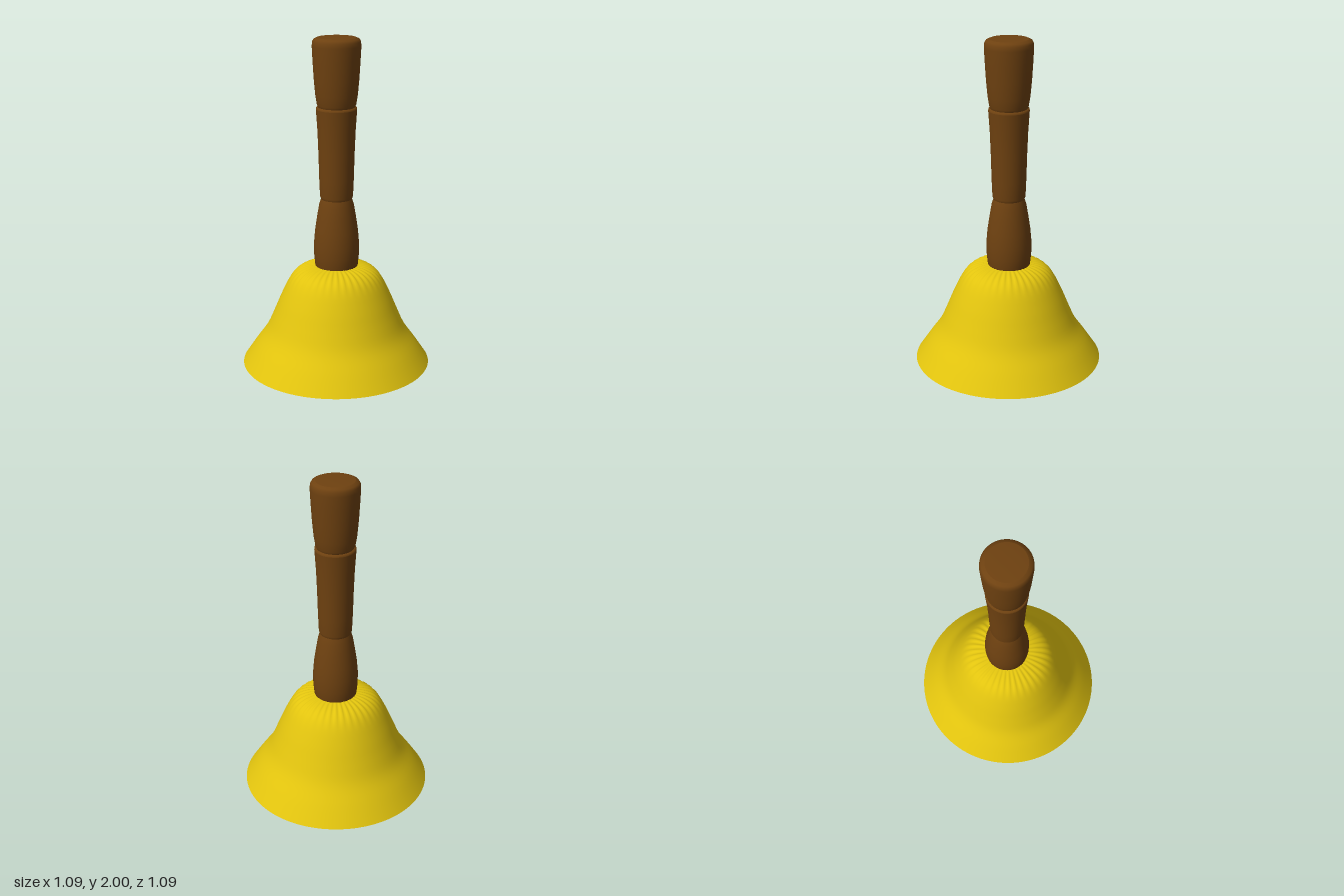
import * as THREE from 'three';
import { mergeVertices } from 'three/addons/utils/BufferGeometryUtils.js';

const mat = (name, color, side = THREE.FrontSide) => {
  const m = new THREE.MeshStandardMaterial({ color, side });
  m.name = name;
  return m;
};

// Turned part from [radius, height] pairs, listed bottom to top
function turned(name, profile, material, sides) {
  const points = profile.map(([r, y]) => new THREE.Vector2(r, y));
  const mesh = new THREE.Mesh(new THREE.LatheGeometry(points, sides), material);
  mesh.name = name;
  return mesh;
}

export function createModel() {
  const brass = mat('yellow brass', 0xe2c40e, THREE.DoubleSide);
  const wood = mat('brown wood', 0x6e4110);
  const bronze = mat('clapper bronze', 0xc8981e);
  const model = new THREE.Group();
  model.name = 'handBell';

  // Thin flared bell body, smoothed through a few profile points
  const curve = new THREE.SplineCurve([
    [0.545, 0.1], [0.478, 0.2], [0.408, 0.3], [0.362, 0.4], [0.32, 0.5],
    [0.271, 0.6], [0.232, 0.65], [0.185, 0.677], [0.13, 0.688], [0.06, 0.69], [0, 0.69],
  ].map(([r, y]) => new THREE.Vector2(r, y)));
  const profile = curve.getPoints(40);
  profile[40].x = 0;
  const flutes = 38;
  let shell = new THREE.LatheGeometry(profile, flutes * 4);

  // Shallow flutes around the shoulder
  const pos = shell.attributes.position;
  for (let i = 0; i < pos.count; i++) {
    const x = pos.getX(i), z = pos.getZ(i), r = Math.hypot(x, z);
    if (r < 0.1 || r > 0.28) continue;
    const fade = Math.sin(Math.PI * (r - 0.1) / 0.18);
    const dent = 0.005 * fade * (0.5 + 0.5 * Math.cos(flutes * Math.atan2(z, x)));
    pos.setXYZ(i, x * (1 - dent / r), pos.getY(i) - dent, z * (1 - dent / r));
  }
  shell.deleteAttribute('uv');
  shell.deleteAttribute('normal');
  shell = mergeVertices(shell, 1e-5);
  shell.computeVertexNormals();
  const bell = new THREE.Mesh(shell, brass);
  bell.name = 'bellBody';
  model.add(bell);

  // Turned handle in three swells, separated by grooves
  const handle = new THREE.Group();
  handle.name = 'handle';
  handle.add(
    turned('lowerGrip', [[0, 0.67], [0.115, 0.67], [0.123, 0.69], [0.129, 0.75], [0.13, 0.82],
      [0.123, 0.9], [0.111, 0.98], [0.099, 1.05], [0.088, 1.085]], wood, 48),
    turned('middleGrip', [[0.088, 1.085], [0.094, 1.1], [0.098, 1.2], [0.102, 1.35],
      [0.107, 1.48], [0.115, 1.6]], wood, 48),
    turned('grooveStep', [[0.115, 1.6], [0.113, 1.61], [0.103, 1.612]], wood, 48),
    turned('upperGrip', [[0.103, 1.612], [0.109, 1.625], [0.118, 1.68], [0.126, 1.77],
      [0.132, 1.87], [0.136, 1.95], [0.134, 1.974], [0.126, 1.988], [0.108, 1.996]], wood, 48),
    turned('handleCap', [[0.108, 1.996], [0.06, 2], [0, 2]], wood, 48),
  );
  handle.position.set(0.004, 0, -0.005);
  model.add(handle);

  // Clapper hanging inside, with a faceted weight at the end
  const clapper = new THREE.Group();
  clapper.name = 'clapper';
  const clapperRings = [[0, 0], [0.03, 0], [0.052, 0.04], [0.052, 0.13], [0.034, 0.19],
    [0.022, 0.45], [0.02, 0.68]];
  const names = ['tip', 'lowerTaper', 'weight', 'upperTaper', 'rod', 'rodTop'];
  names.forEach((name, i) =>
    clapper.add(turned(name, clapperRings.slice(i, i + 2), bronze, 16)));
  clapper.position.x = 0.005;
  model.add(clapper);

  return model;
}
